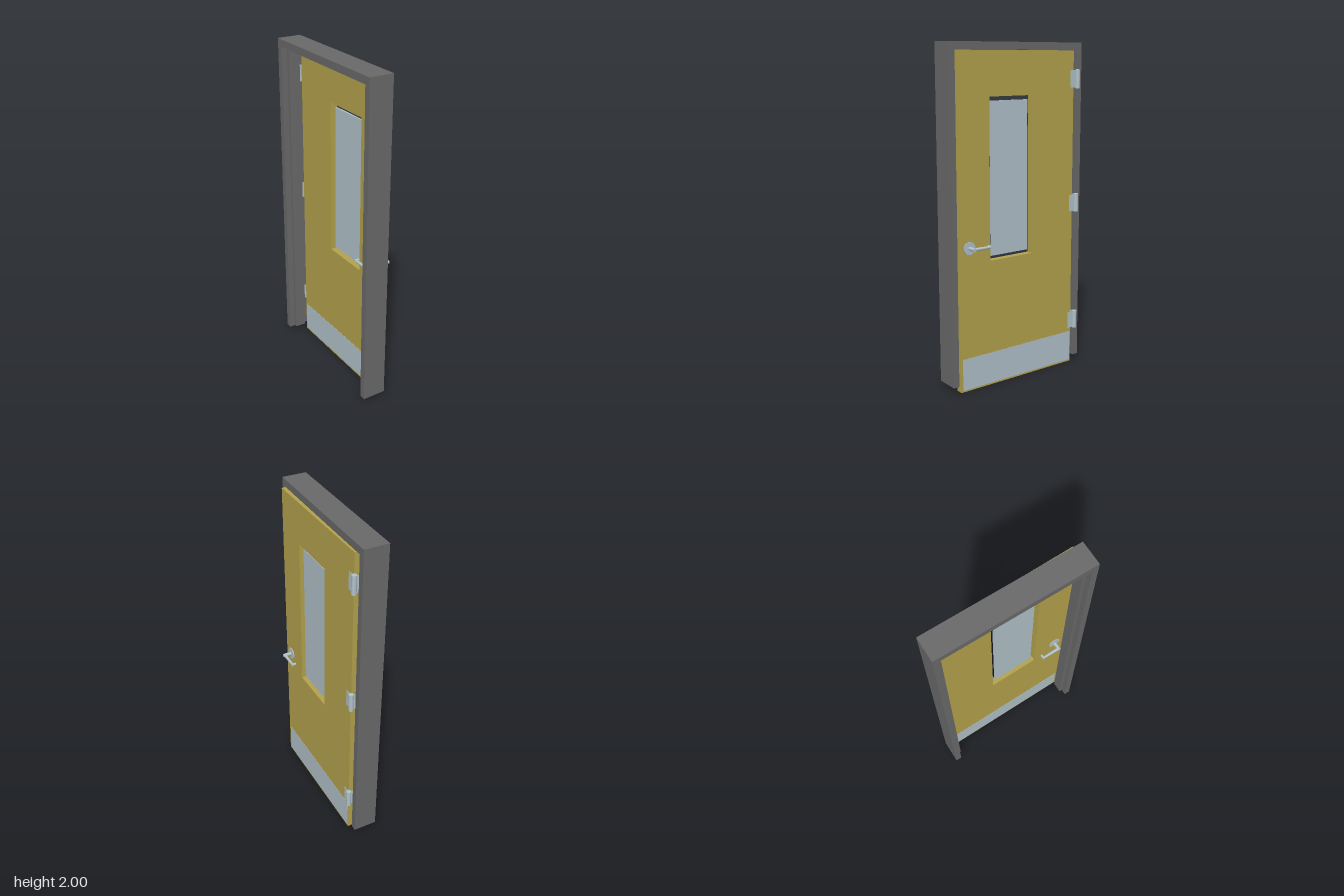
import * as THREE from 'three';

export function createModel() {
  const model = new THREE.Group();
  model.name = 'doorInFrame';

  const mat = (name, color) => {
    const m = new THREE.MeshStandardMaterial({ color });
    m.name = name;
    return m;
  };
  const grey = mat('frameGrey', 0x696969);
  const ochre = mat('doorOchre', 0xb3a24c);
  const steel = mat('paleSteel', 0xb0c1c9);

  const add = (parent, geo, material, name) => {
    const mesh = new THREE.Mesh(geo, material);
    mesh.name = name;
    parent.add(mesh);
    return mesh;
  };
  // Box given by its limits on each axis
  const box = (parent, material, name, [x0, x1], [y0, y1], [z0, z1]) =>
    add(parent, new THREE.BoxGeometry(x1 - x0, y1 - y0, z1 - z0), material, name)
      .position.set((x0 + x1) / 2, (y0 + y1) / 2, (z0 + z1) / 2);
  // Round bar between two points
  const rod = (parent, name, a, b, r0, r1 = r0, sides = 16) => {
    const p = new THREE.Vector3(...a), q = new THREE.Vector3(...b);
    const dir = q.clone().sub(p);
    const mesh = add(parent, new THREE.CylinderGeometry(r1, r0, dir.length(), sides), steel, name);
    mesh.position.copy(p).add(q).multiplyScalar(0.5);
    mesh.quaternion.setFromUnitVectors(new THREE.Vector3(0, 1, 0), dir.normalize());
  };
  // Outline in (-z, y) extruded along x
  const extrudeX = (shape, x0, x1) =>
    new THREE.ExtrudeGeometry(shape, { depth: x1 - x0, bevelEnabled: false })
      .rotateY(Math.PI / 2).translate(x0, 0, 0);
  const outline = (pts) => new THREE.Shape(pts.map(([x, y]) => new THREE.Vector2(x, y)));

  // Frame: two rabbets with a wider stop between them
  const frame = new THREE.Group();
  frame.name = 'frame';
  model.add(frame);
  const layers = [
    ['backRabbet', -0.11, -0.073, 0.432, 1.956],
    ['stop', -0.073, -0.004, 0.413, 1.94],
    ['frontRabbet', -0.004, 0.035, 0.432, 1.956],
  ];
  for (const [name, x0, x1, w, h] of layers) {
    const u = outline([[-0.47, 0.03], [-w, 0.03], [-w, h], [w, h], [w, 0.03],
      [0.47, 0.03], [0.47, 2], [-0.47, 2]]);
    add(frame, extrudeX(u, x0, x1), grey, name);
  }

  // Door leaf, standing very slightly ajar
  const door = new THREE.Group();
  door.name = 'door';
  door.position.set(0.03, 0, 0.0165);
  door.rotation.y = 0.0147;
  model.add(door);
  const T = 0.0215;
  const leaf = outline([[-0.4165, 0], [0.4165, 0], [0.4165, 1.954], [-0.4165, 1.954]]);
  leaf.holes.push(outline([[-0.2055, 0.76], [-0.2055, 1.7], [0.1015, 1.7], [0.1015, 0.76]]));
  add(door, extrudeX(leaf, -T, T), ochre, 'doorLeaf');
  box(door, steel, 'windowPane', [-0.005, 0.005], [0.783, 1.676], [-0.0765, 0.186]);

  // Kick plate and lever handle on both faces
  for (const s of [1, -1]) {
    const side = s > 0 ? 'front' : 'back';
    const f = s * T;
    box(door, steel, side + 'KickPlate', [Math.min(f, f + s * 0.001), Math.max(f, f + s * 0.001)],
      [0.01, 0.2], [-0.41, 0.404]);
    const handle = new THREE.Group();
    handle.name = side + 'Handle';
    door.add(handle);
    const y = 0.855, z = 0.351, out = s * 0.069;
    rod(handle, 'rose', [f, y, z], [f + s * 0.005, y, z], 0.038, 0.038, 24);
    rod(handle, 'spindle', [f, y, z], [s * 0.079, y, z], 0.011);
    rod(handle, 'lever', [out, y, z], [out, y, z - 0.12], 0.01, 0.008);
    rod(handle, 'leverReturn', [out + s * 0.008, y, z - 0.113], [out - s * 0.02, y, z - 0.113], 0.008);
  }

  // Three hinges: knuckle, door leaf plate and frame leaf plate
  for (const y of [0.28, 1.033, 1.787]) {
    const hinge = new THREE.Group();
    hinge.name = 'hinge';
    model.add(hinge);
    rod(hinge, 'knuckle', [0.057, y - 0.056, -0.422], [0.057, y + 0.056, -0.422], 0.0145);
    box(hinge, steel, 'doorPlate', [0.056, 0.058], [y - 0.051, y + 0.051], [-0.422, -0.368]);
    box(hinge, steel, 'framePlate', [0.004, 0.057], [y - 0.051, y + 0.051], [-0.424, -0.422]);
  }
  return model;
}
